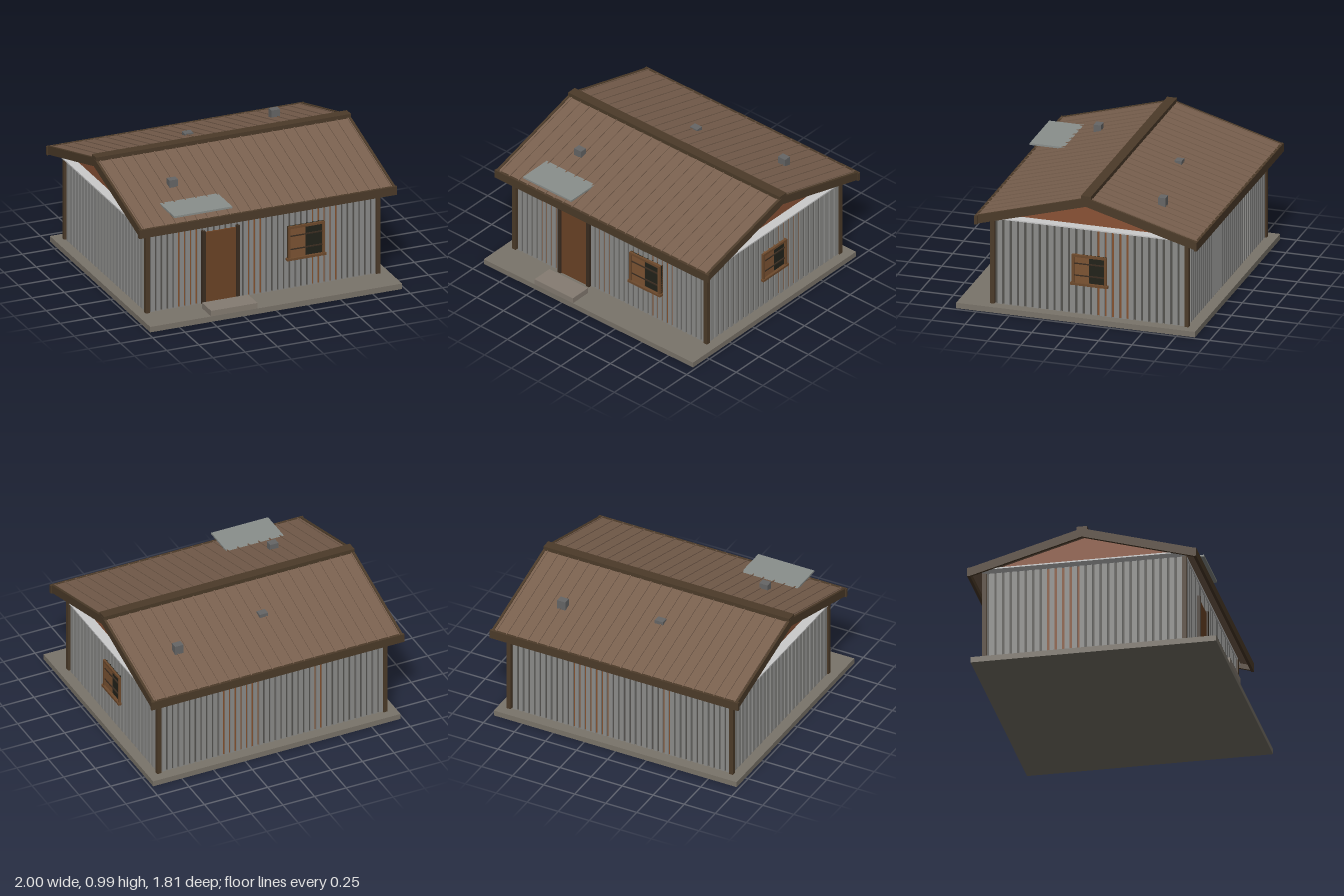
import * as THREE from 'three';

const mat = (color) => new THREE.MeshStandardMaterial({ color, flatShading: true });
const M = {
  slab: mat(0x7a746a), step: mat(0x857c72), wall: mat(0x8c8c8a), groove: mat(0x55534f),
  rust: mat(0x85522f), roof: mat(0x79604e), trim: mat(0x4c3b29), door: mat(0x6b4326),
  frame: mat(0x6e4a2c), jamb: mat(0x3a2c20), glass: mat(0x22221a), board: mat(0x7d5433),
  gable: mat(0x8a5236), metal: mat(0x8a8f8c), vent: mat(0x666666), soffit: mat(0xcccccc),
};
const RIDGE_Z = -0.07, RIDGE_Y = 0.97, RUN = 0.83, EAVE_Y = 0.735;

// Box given by its min and max along each axis
function box(parent, name, m, [x0, x1], [y0, y1], [z0, z1]) {
  const mesh = new THREE.Mesh(new THREE.BoxGeometry(x1 - x0, y1 - y0, z1 - z0), m);
  mesh.position.set((x0 + x1) / 2, (y0 + y1) / 2, (z0 + z1) / 2);
  mesh.name = name;
  parent.add(mesh);
  return mesh;
}

// Polygon of (z, y) points extruded along x, centred on x
function prism(parent, name, m, points, x, width) {
  const shape = new THREE.Shape(points.map(([z, y]) => new THREE.Vector2(z, y)));
  const geo = new THREE.ExtrudeGeometry(shape, { depth: width, bevelEnabled: false });
  geo.translate(0, 0, -width / 2).rotateY(-Math.PI / 2);
  const mesh = new THREE.Mesh(geo, m);
  mesh.name = name;
  mesh.position.set(x, 0, RIDGE_Z);
  parent.add(mesh);
}

// Ribbed metal cladding facing local +z; grooves inside rust ranges are rusty
function cladding(name, half, pitch, rustRanges) {
  const g = new THREE.Group();
  g.name = name;
  const n = Math.round((2 * half) / pitch), step = (2 * half) / n;
  for (let i = 0; i < n; i++) {
    const x = -half + i * step;
    const rusty = rustRanges.some(([a, b]) => x >= a && x <= b);
    box(g, 'groove', rusty ? M.rust : M.groove, [x, x + step * 0.32], [0.04, 0.72], [-0.01, 0.004]);
    box(g, 'rib', M.wall, [x + step * 0.32, x + step], [0.04, 0.72], [-0.01, 0.015]);
  }
  return g;
}

// Window facing local +z, centred on x, half boarded over
function makeWindow(w, y0, y1) {
  const g = new THREE.Group(), h = w / 2, t = 0.018;
  g.name = 'window';
  box(g, 'windowGlass', M.glass, [-h, h], [y0, y1], [0, 0.018]);
  box(g, 'windowBoard', M.board, [-h + t, -0.005], [y0, y1], [0, 0.022]);
  for (const s of [-1, 1]) {
    const x = s * (h - t / 2);
    box(g, 'windowJamb', M.frame, [x - t / 2, x + t / 2], [y0, y1], [0, 0.033]);
  }
  box(g, 'windowHead', M.frame, [-h, h], [y1 - t, y1], [0, 0.033]);
  box(g, 'windowSill', M.frame, [-h - 0.01, h + 0.01], [y0 - 0.005, y0 + 0.012], [0, 0.04]);
  for (const f of [0.3, 0.7]) {
    const y = y0 + (y1 - y0) * f;
    box(g, 'windowBar', M.jamb, [-h + t, h - t], [y - 0.004, y + 0.004], [0.015, 0.028]);
  }
  return g;
}

function makeRoof() {
  const roof = new THREE.Group();
  roof.name = 'roof';
  const rise = RIDGE_Y - EAVE_Y, angle = Math.atan2(rise, RUN), length = Math.hypot(rise, RUN);
  // Two sloping sheets with standing seams
  for (const turn of [0, Math.PI]) {
    const side = new THREE.Group(), slope = new THREE.Group();
    side.name = turn ? 'backSlope' : 'frontSlope';
    side.position.set(0, RIDGE_Y - 0.006, RIDGE_Z);
    side.rotation.y = turn;
    slope.rotation.x = angle;
    box(slope, 'roofSheet', M.roof, [-0.985, 0.985], [-0.02, 0], [0, length - 0.005]);
    for (let i = 0; i < 24; i++) {
      const x = -0.955 + i * 0.0835;
      box(slope, 'roofSeam', M.roof, [x - 0.004, x + 0.004], [-0.005, 0.006], [0, length - 0.008]);
    }
    side.add(slope);
    box(side, 'eaveFascia', M.trim, [-1, 1], [EAVE_Y - 0.065 - RIDGE_Y + 0.006, EAVE_Y - RIDGE_Y + 0.006], [RUN - 0.018, RUN + 0.003]);
    roof.add(side);
  }
  // Gable end boards
  const d = 0.065;
  const chevron = [[-RUN, EAVE_Y - d], [0, RIDGE_Y - d], [RUN, EAVE_Y - d], [RUN, EAVE_Y], [0, RIDGE_Y], [-RUN, EAVE_Y]];
  for (const s of [-1, 1]) prism(roof, 'rakeBoard', M.trim, chevron, s * 0.982, 0.018);
  box(roof, 'ridgeCap', M.trim, [-0.99, 0.99], [0.952, 0.985], [RIDGE_Z - 0.037, RIDGE_Z + 0.037]);
  // Vents and loose sheet
  for (const [x, z, y0, y1] of [[-0.56, 0.34, 0.83, 0.897], [0.61, -0.525, 0.82, 0.897], [-0.115, -0.41, 0.85, 0.887]])
    box(roof, 'roofVent', M.vent, [x - 0.033, x + 0.033], [y0, y1], [z - 0.027, z + 0.027]);
  box(roof, 'looseSheet', M.metal, [-0.73, -0.28], [0.787, 0.801], [0.49, 0.765]);
  return roof;
}

export function createModel() {
  const house = new THREE.Group();
  house.name = 'house';
  // Base
  box(house, 'slab', M.slab, [-0.978, 0.978], [0, 0.042], [-0.883, 0.905]);
  box(house, 'doorStep', M.step, [-0.505, -0.145], [0.042, 0.085], [0.74, 0.905]);
  // Wall core, cladding and corner posts
  box(house, 'wallCore', M.groove, [-0.885, 0.885], [0.04, 0.72], [-0.785, 0.645]);
  const walls = [
    ['frontWall', 0.88, 0.045, [[-0.66, -0.5], [-0.14, 0.0], [0.35, 0.6]], 0, 0.645, 0],
    ['backWall', 0.88, 0.045, [[-0.4, -0.1], [0.3, 0.4]], 0, -0.785, Math.PI],
    ['leftWall', 0.71, 0.0545, [[0.02, 0.28]], 0.885, RIDGE_Z, Math.PI / 2],
    ['rightWall', 0.71, 0.0545, [[-0.3, -0.05]], -0.885, RIDGE_Z, -Math.PI / 2],
  ];
  for (const [name, half, pitch, rust, x, z, turn] of walls) {
    const wall = cladding(name, half, pitch, rust);
    wall.position.set(x, 0, z);
    wall.rotation.y = turn;
    house.add(wall);
  }
  for (const x of [-0.895, 0.895]) for (const z of [-0.797, 0.657])
    box(house, 'cornerPost', M.trim, [x - 0.016, x + 0.016], [0.04, 0.725], [z - 0.016, z + 0.016]);
  // Ceiling plate with gable infill above
  box(house, 'ceilingPlate', M.soffit, [-0.972, 0.972], [0.72, 0.73], [-0.81, 0.67]);
  for (const s of [-1, 1])
    prism(house, 'gable', M.gable, [[-0.72, 0.73], [0.72, 0.73], [0, 0.934]], s * 0.89, 0.02);
  // Door
  box(house, 'door', M.door, [-0.455, -0.205], [0.042, 0.59], [0.64, 0.672]);
  for (const x of [-0.463, -0.197])
    box(house, 'doorJamb', M.jamb, [x - 0.013, x + 0.013], [0.042, 0.605], [0.64, 0.684]);
  // Windows
  const front = makeWindow(0.285, 0.27, 0.525);
  front.position.set(0.333, 0, 0.65);
  const side = makeWindow(0.26, 0.27, 0.497);
  side.position.set(0.885, 0, RIDGE_Z);
  side.rotation.y = Math.PI / 2;
  house.add(front, side, makeRoof());
  return house;
}
